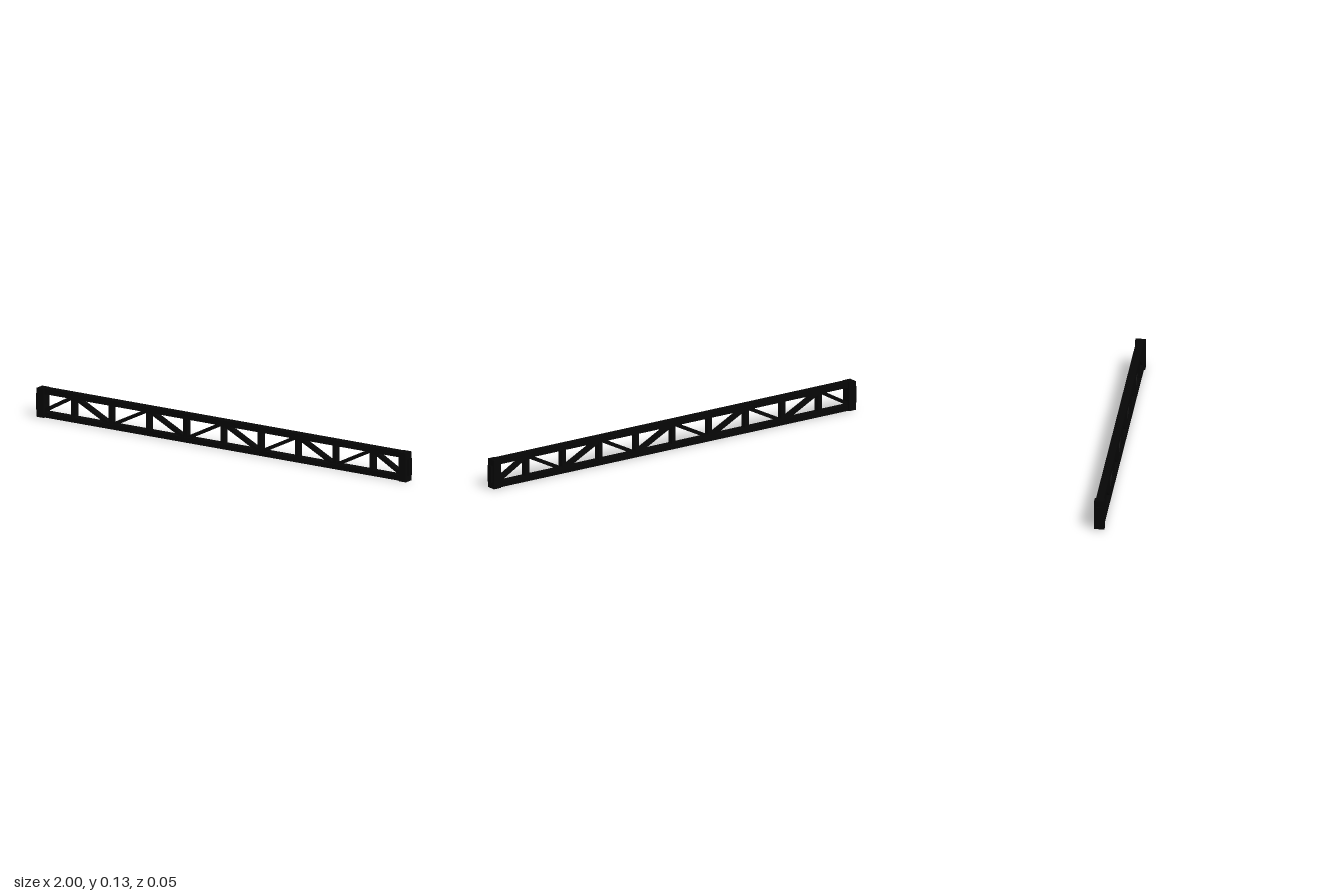
import * as THREE from 'three';

export function createModel() {
  const model = new THREE.Group();
  const black = new THREE.MeshStandardMaterial({ name: 'black metal', color: 0x060606 });
  const teal = new THREE.MeshStandardMaterial({ name: 'teal light strip', color: 0x22c4d4 });

  function box(name, w, h, d, x, y, z = 0, material = black) {
    const mesh = new THREE.Mesh(new THREE.BoxGeometry(w, h, d), material);
    mesh.name = name;
    mesh.position.set(x, y, z);
    model.add(mesh);
    return mesh;
  }

  // Long top and bottom rails
  const low = 0.014, high = 0.122;
  box('topChord', 1.96, 0.025, 0.035, 0, high);
  box('bottomChord', 1.96, 0.024, 0.035, 0, low);

  // Thin strip under the bottom rail
  box('lightStrip', 1.9, 0.003, 0.007, 0, 0.0015, 0, teal);

  // End plates with a smaller connector on each outer face
  for (const side of [-1, 1]) {
    box('endPlate', 0.039, 0.133, 0.046, side * 0.9705, 0.0675);
    box('endConnector', 0.02, 0.076, 0.026, side * 0.99, 0.068);
  }

  // Upright posts between the bays
  for (let i = -4; i <= 4; i++) {
    box('post', 0.02, high - low, 0.028, i * 0.2, (high + low) / 2);
  }

  // Zigzag braces, alternating direction from bay to bay
  for (let i = 0; i < 10; i++) {
    const x0 = Math.max(-0.98, -1 + i * 0.2);
    const x1 = Math.min(0.98, -0.8 + i * 0.2);
    const rise = (i % 2 === 0 ? 1 : -1) * (high - low - 0.008);
    const brace = box('brace', Math.hypot(x1 - x0, rise), 0.016, 0.024,
      (x0 + x1) / 2, (high + low) / 2);
    brace.rotation.z = Math.atan2(rise, x1 - x0);
  }

  return model;
}
